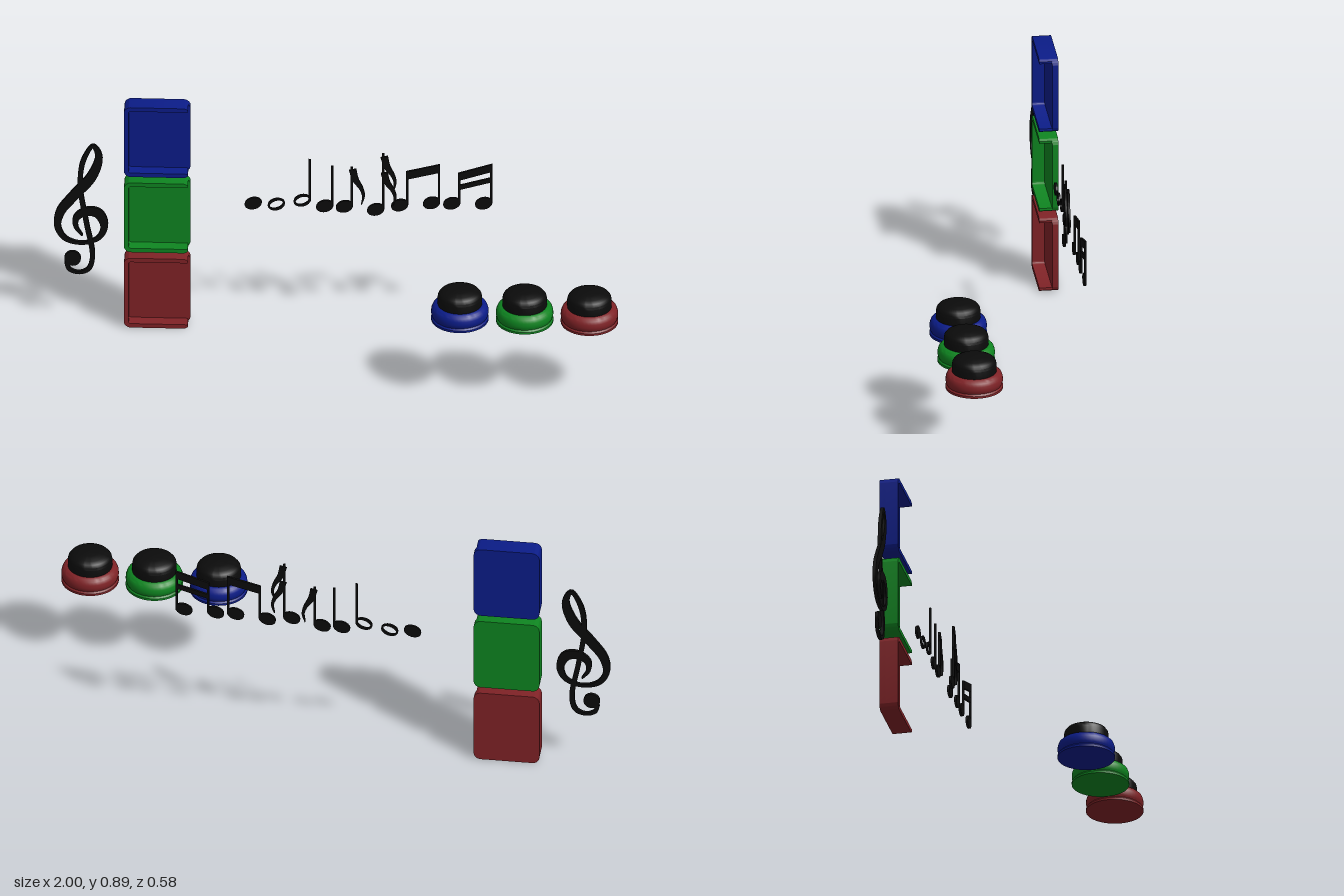
import * as THREE from 'three';
import { toCreasedNormals } from 'three/addons/utils/BufferGeometryUtils.js';

const mat = (color) => new THREE.MeshStandardMaterial({ color });
const black = mat(0x0b0b0b);
const red = mat(0x7f2226), green = mat(0x0e8420), blue = mat(0x0b1c88);

function add(parent, name, geometry, material, x = 0, y = 0, z = 0) {
  const mesh = new THREE.Mesh(geometry, material);
  mesh.name = name;
  mesh.position.set(x, y, z);
  parent.add(mesh);
  return mesh;
}

function addGroup(parent, name) {
  const group = new THREE.Group();
  group.name = name;
  parent.add(group);
  return group;
}

const extrude = (shape, depth) => toCreasedNormals(
  new THREE.ExtrudeGeometry(shape, { depth, bevelEnabled: false, curveSegments: 16 }), 0.6);

// Flat strip of varying width along a smooth path of [x, y, width]
function ribbon(points, depth, steps) {
  const curve = new THREE.CatmullRomCurve3(points.map((p) => new THREE.Vector3(...p)));
  const pos = [], index = [];
  for (let i = 0; i <= steps; i++) {
    const p = curve.getPoint(i / steps), t = curve.getTangent(i / steps);
    const len = Math.hypot(t.x, t.y), nx = -t.y / len * p.z / 2, ny = t.x / len * p.z / 2;
    for (const [s, d] of [[1, 1], [-1, 1], [-1, -1], [1, -1]]) {
      pos.push(p.x + s * nx, p.y + s * ny, d * depth / 2);
    }
    if (i === steps) continue;
    for (let j = 0; j < 4; j++) {
      const a = i * 4 + j, b = i * 4 + (j + 1) % 4;
      index.push(a, b, b + 4, a, b + 4, a + 4);
    }
  }
  const e = steps * 4;
  index.push(0, 2, 1, 0, 3, 2, e, e + 1, e + 2, e, e + 2, e + 3);
  const geo = new THREE.BufferGeometry();
  geo.setAttribute('position', new THREE.Float32BufferAttribute(pos, 3));
  geo.setIndex(index);
  return toCreasedNormals(geo, 0.6);
}

// Trays: rounded back plate with a rim on three sides, open on the left side
const W = 0.116, H = 0.141, R = 0.025, T = 0.016;
function roundedRect(w, h, r) {
  const s = new THREE.Shape();
  s.absarc(w - r, h - r, r, 0, Math.PI / 2);
  s.absarc(r - w, h - r, r, Math.PI / 2, Math.PI);
  s.absarc(r - w, r - h, r, Math.PI, Math.PI * 1.5);
  s.absarc(w - r, r - h, r, Math.PI * 1.5, Math.PI * 2);
  return s;
}
function rimShape() {
  const s = new THREE.Shape(), r = R - T, end = Math.PI / 4, q = Math.PI / 2;
  s.absarc(W - R, H - R, R, end, q);
  s.absarc(R - W, H - R, R, q, 2 * q);
  s.absarc(R - W, R - H, R, 2 * q, 3 * q);
  s.absarc(W - R, R - H, R, 3 * q, 4 * q - end);
  s.lineTo(W - 0.008, T - H);
  s.absarc(R - W, R - H, r, 3 * q, 2 * q, true);
  s.absarc(R - W, H - R, r, 2 * q, q, true);
  s.lineTo(W - 0.008, H - T);
  return s;
}
function tray(parent, y, material) {
  const g = addGroup(parent, 'tray');
  g.position.set(-0.639, y, -0.287);
  add(g, 'trayBack', extrude(roundedRect(W, H, R), 0.022), material);
  add(g, 'trayRim', extrude(rimShape(), 0.045), material, 0, 0, 0.022);
}

// Push buttons: turned base with a groove, and a domed black cap
const lathe = (pts) => toCreasedNormals(
  new THREE.LatheGeometry(pts.map((p) => new THREE.Vector2(...p)), 48), 0.6);
function button(parent, x, material) {
  const g = addGroup(parent, 'button');
  g.position.set(x, 0.307, 0.188);
  add(g, 'buttonBase', lathe([[0, 0], [0.101, 0], [0.101, 0.008], [0.096, 0.014], [0.099, 0.02],
    [0.101, 0.03], [0.1, 0.042], [0.096, 0.053], [0.089, 0.06], [0.078, 0.063], [0, 0.063]]), material);
  add(g, 'buttonCap', lathe([[0.078, 0.06], [0.078, 0.09], [0.076, 0.099], [0.069, 0.108],
    [0.055, 0.115], [0.03, 0.12], [0, 0.121]]), black);
}

// Notes
const D = 0.008;
function head(parent, x, y, hollow) {
  const s = new THREE.Shape();
  s.absellipse(0, 0, 0.031, 0.023, 0, Math.PI * 2, false, 0.35);
  if (hollow) {
    const hole = new THREE.Path();
    hole.absellipse(0, 0, 0.025, 0.014, 0, Math.PI * 2, true, 0.45);
    s.holes.push(hole);
  }
  add(parent, 'noteHead', extrude(s, D), black, x, y, -D / 2);
}
function stemmed(parent, x, y, top, hollow) {
  head(parent, x, y, hollow);
  add(parent, 'noteStem', new THREE.BoxGeometry(0.008, top - y, D), black, x + 0.026, (top + y) / 2, 0);
}
function flag(parent, x, y, s) {
  add(parent, 'noteFlag', ribbon([[x, y, 0.026 * s], [x + 0.01, y - 0.04 * s, 0.022 * s],
    [x + 0.03, y - 0.075 * s, 0.014], [x + 0.038, y - 0.105 * s, 0.01],
    [x + 0.031, y - 0.14 * s, 0.003]], D, 20), black);
}
function beam(parent, x0, y0, x1, y1, t) {
  const s = new THREE.Shape([[x0, y0 - t], [x1, y1 - t], [x1, y1], [x0, y0]]
    .map((p) => new THREE.Vector2(...p)));
  add(parent, 'noteBeam', extrude(s, D), black, 0, 0, -D / 2);
}

function addNotes(parent) {
  const notes = addGroup(parent, 'notes');
  notes.position.z = -0.25;
  const note = (name) => addGroup(notes, name);
  head(note('solidHead'), -0.302, 0.5, false);
  head(note('wholeNote'), -0.221, 0.498, true);
  stemmed(note('halfNote'), -0.13, 0.516, 0.683, true);
  stemmed(note('quarterNote'), -0.051, 0.495, 0.658, false);

  const eighth = note('eighthNote');
  stemmed(eighth, 0.018, 0.495, 0.656, false);
  flag(eighth, 0.047, 0.645, 1);

  const sixteenth = note('sixteenthNote');
  sixteenth.position.z = 0.025;
  stemmed(sixteenth, 0.129, 0.5, 0.727, false);
  flag(sixteenth, 0.159, 0.715, 1);
  flag(sixteenth, 0.159, 0.65, 0.95);

  const pair = note('beamedEighths');
  stemmed(pair, 0.212, 0.505, 0.638, false);
  stemmed(pair, 0.324, 0.517, 0.668, false);
  beam(pair, 0.234, 0.642, 0.354, 0.674, 0.032);

  const fastPair = note('beamedSixteenths');
  stemmed(fastPair, 0.395, 0.517, 0.635, false);
  stemmed(fastPair, 0.507, 0.52, 0.675, false);
  beam(fastPair, 0.417, 0.64, 0.537, 0.68, 0.03);
  beam(fastPair, 0.417, 0.59, 0.537, 0.626, 0.018);
}

// Treble clef: one swelling stroke ending in a round terminal
function addClef(parent) {
  const g = addGroup(parent, 'trebleClef');
  g.position.z = -0.25;
  add(g, 'clefStroke', ribbon([
    [-0.957, 0.245, 0.016], [-0.948, 0.217, 0.014], [-0.915, 0.204, 0.012], [-0.88, 0.219, 0.016],
    [-0.866, 0.272, 0.018], [-0.888, 0.41, 0.018], [-0.909, 0.555, 0.018], [-0.899, 0.656, 0.018],
    [-0.864, 0.719, 0.014], [-0.844, 0.677, 0.026], [-0.869, 0.595, 0.036], [-0.932, 0.515, 0.036],
    [-0.978, 0.45, 0.032], [-0.988, 0.389, 0.024], [-0.961, 0.341, 0.018], [-0.899, 0.324, 0.012],
    [-0.842, 0.349, 0.018], [-0.825, 0.4, 0.028], [-0.847, 0.446, 0.036], [-0.888, 0.452, 0.032],
    [-0.922, 0.427, 0.024], [-0.924, 0.39, 0.016], [-0.902, 0.355, 0.006]], 0.012, 150), black);
  const ball = new THREE.CylinderGeometry(0.029, 0.029, 0.012, 32).rotateX(Math.PI / 2);
  add(g, 'clefTerminal', ball, black, -0.936, 0.261, 0);
}

export function createModel() {
  const model = new THREE.Group();
  model.name = 'musicSet';
  [red, green, blue].forEach((m, i) => tray(model, H + i * 0.3065, m));
  [blue, green, red].forEach((m, i) => button(model, 0.442 + i * 0.2275, m));
  addNotes(model);
  addClef(model);
  return model;
}
